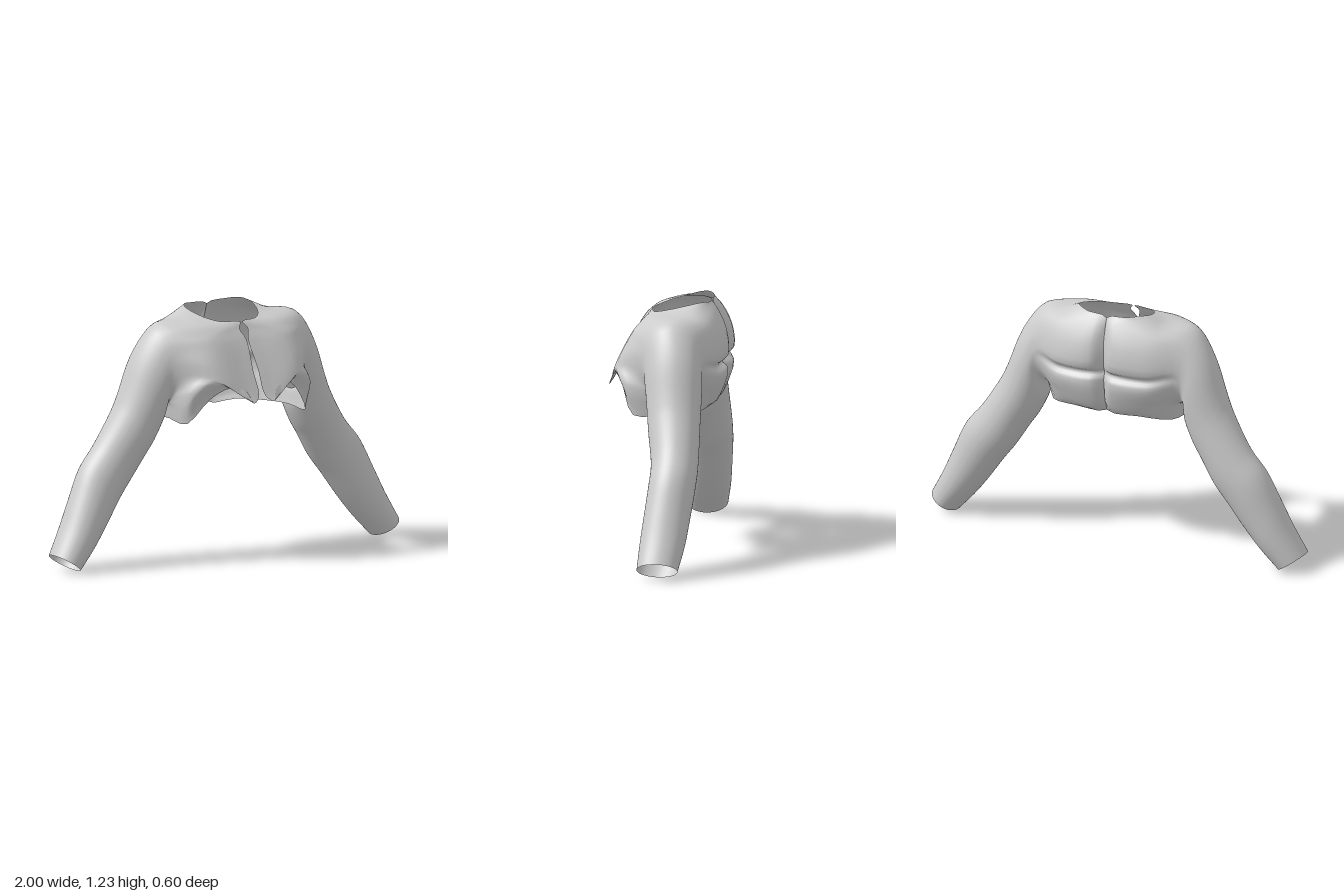
import * as THREE from 'three';

const V = (x, y, z) => new THREE.Vector3(x, y, z);

// Free border of one half: neckline, front opening, scalloped hem, back seam
const border = [
  [.185, 1.225, -.12], [.16, 1.195, -.01], [.10, 1.175, .06], [.005, 1.17, .085],
  [.024, 1.14, .105], [.005, 1.09, .138], [.015, .95, .21], [.018, .83, .268],
  [.06, .80, .288], [.085, .855, .266], [.16, .88, .24], [.25, .83, .195],
  [.345, .705, .13], [.35, .71, -.02], [.32, .71, -.15], [.17, .725, -.215],
  [0, .73, -.215], [0, .90, -.25], [0, .935, -.24], [0, .97, -.25],
  [0, 1.10, -.25], [0, 1.215, -.215], [.10, 1.23, -.21], [.165, 1.235, -.17],
].map(p => V(...p));

// Loop around the shoulder, chest side and shoulder blade
const shoulder = [
  [.27, 1.19, -.10], [.26, 1.185, -.01], [.25, 1.165, .07], [.24, 1.13, .115],
  [.24, 1.105, .14], [.24, 1.07, .162], [.25, 1.0, .198], [.25, .95, .218],
  [.26, .93, .22], [.28, .92, .213], [.31, .90, .202], [.34, .86, .182],
  [.362, .80, .13], [.365, .78, -.02], [.345, .80, -.16], [.28, .82, -.235],
  [.25, .84, -.262], [.24, .90, -.28], [.24, .935, -.258], [.24, .97, -.283],
  [.24, 1.07, -.27], [.25, 1.14, -.235], [.26, 1.17, -.20], [.27, 1.185, -.155],
].map(p => V(...p));

// Panel just beside the opening and the sunken back seam
const backBulge = { 15: .015, 16: .03, 17: .04, 18: .02, 19: .04, 20: .035, 21: .02 };
const panel = border.map((p, i) => {
  const q = p.clone().lerp(shoulder[i], .25);
  q.z -= backBulge[i] || 0;
  return q;
});

// Direction of each loop point around the arm, from the top towards the front
const angles = [0, 18, 34, 48, 58, 70, 84, 98, 108, 118, 130, 144,
  162, 182, 204, 224, 240, 254, 264, 274, 292, 312, 328, 344];

// Sleeve sections: outer edge x, y, inner edge x, y, front z, back z
const sleeveSections = [
  [.40, 1.17, .375, .775, .085, -.215],
  [.50, 1.04, .385, .69, .06, -.22],
  [.575, .85, .43, .59, .04, -.22],
  [.61, .77, .47, .53, .03, -.222],
  [.715, .60, .545, .41, .005, -.225],
  [.80, .495, .61, .325, .008, -.22],
  [.87, .35, .70, .20, .02, -.205],
  [.93, .22, .78, .10, .03, -.19],
  [1.0, .09, .87, .003, .035, -.165],
];

function sleeveRing([ux, uy, lx, ly, zf, zb]) {
  return angles.map(d => {
    const a = d * Math.PI / 180, c = Math.cos(a) / 2, s = Math.sin(a) / 2;
    return V((ux + lx) / 2 + (ux - lx) * c, (uy + ly) / 2 + (uy - ly) * c,
      (zf + zb) / 2 + (zf - zb) * s);
  });
}

const AROUND = 72, STEPS = 4, BODY_SPANS = 3;

// One half of the garment, lofted from the border to the cuff, split at the armhole
function buildHalf(side) {
  const loops = [border, panel, shoulder, ...sleeveSections.map(sleeveRing)];
  const rows = (loops.length - 1) * STEPS;
  const strands = angles.map((_, j) =>
    new THREE.CatmullRomCurve3(loops.map(l => l[j])).getPoints(rows));
  const positions = [];
  for (let i = 0; i <= rows; i++) {
    const loop = new THREE.CatmullRomCurve3(strands.map(s => s[i]), true);
    for (let j = 0; j < AROUND; j++) {
      const p = loop.getPoint(j / AROUND);
      positions.push(side * Math.max(p.x, 0), Math.max(p.y, 0), p.z);
    }
  }
  const band = (from, to) => {
    const index = [];
    for (let i = from; i < to; i++) for (let j = 0; j < AROUND; j++) {
      const k = (j + 1) % AROUND;
      const a = i * AROUND + j, b = i * AROUND + k, c = a + AROUND, d = b + AROUND;
      if (side > 0) index.push(a, b, c, b, d, c);
      else index.push(a, c, b, b, c, d);
    }
    return index;
  };
  // Shared normals keep the armhole smooth
  const whole = new THREE.BufferGeometry();
  whole.setAttribute('position', new THREE.Float32BufferAttribute(positions, 3));
  whole.setIndex(band(0, rows));
  whole.computeVertexNormals();
  const split = BODY_SPANS * STEPS;
  return [[0, split], [split, rows]].map(([from, to]) => {
    const g = new THREE.BufferGeometry();
    for (const n of ['position', 'normal']) g.setAttribute(n, whole.getAttribute(n));
    g.setIndex(band(from, to));
    return g;
  });
}

export function createModel() {
  const group = new THREE.Group();
  group.name = 'croppedJacket';
  const cloth = new THREE.MeshStandardMaterial({ color: 0xcccccc, side: THREE.DoubleSide });
  cloth.name = 'light grey cloth';
  for (const [side, label] of [[1, 'left'], [-1, 'right']]) {
    const [body, sleeve] = buildHalf(side);
    for (const [geometry, part] of [[body, 'BodyPanel'], [sleeve, 'Sleeve']]) {
      const mesh = new THREE.Mesh(geometry, cloth);
      mesh.name = label + part;
      group.add(mesh);
    }
  }
  return group;
}
